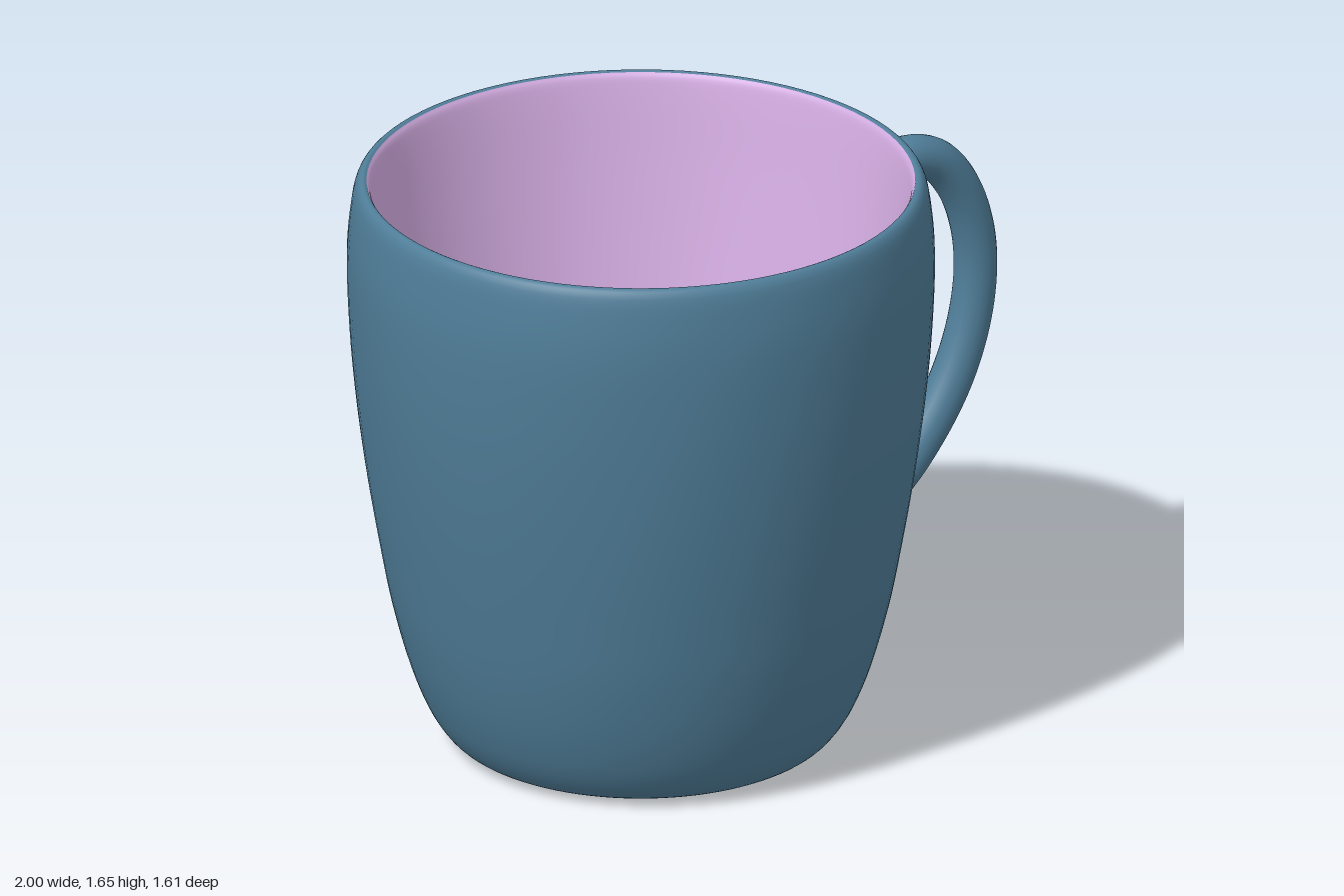
import * as THREE from 'three';

const CUP_X = -0.196;

// Smooth lathe through a few [radius, height] points, closed at the axis
function lathe(name, points, color) {
  const curve = new THREE.CatmullRomCurve3(points.map(([r, y]) => new THREE.Vector3(r, y, 0)), false, 'centripetal');
  const profile = curve.getPoints((points.length - 1) * 5).map((p) => new THREE.Vector2(Math.max(p.x, 0), p.y));
  const mesh = new THREE.Mesh(new THREE.LatheGeometry(profile, 96), new THREE.MeshStandardMaterial({ color }));
  mesh.name = name;
  mesh.position.x = CUP_X;
  return mesh;
}

export function createModel() {
  const group = new THREE.Group();
  group.name = 'mug';
  const blue = 0x4f7d98, pink = 0xd4ade2;

  // Outside: base, rounded foot, bulging wall and rolled rim
  group.add(lathe('outerWall', [
    [0, 0], [0.25, 0], [0.45, 0.003], [0.518, 0.022], [0.57, 0.08], [0.625, 0.2], [0.682, 0.4],
    [0.721, 0.6], [0.754, 0.8], [0.78, 1.0], [0.798, 1.2], [0.806, 1.42], [0.798, 1.54],
    [0.784, 1.62], [0.771, 1.641], [0.76, 1.645], [0.752, 1.642],
  ], blue));

  // Inside: lining tapering from the rim to a bowl-shaped floor
  group.add(lathe('innerLining', [
    [0.752, 1.642], [0.745, 1.63], [0.738, 1.6], [0.706, 1.4], [0.672, 1.2], [0.636, 1.0], [0.598, 0.8],
    [0.556, 0.6], [0.51, 0.4], [0.476, 0.27], [0.44, 0.18], [0.39, 0.125], [0.31, 0.09], [0.18, 0.067], [0, 0.058],
  ], pink));

  // Ear-shaped handle, both ends buried in the wall
  const path = new THREE.CatmullRomCurve3([
    [0.575, 1.44], [0.63, 1.47], [0.71, 1.484], [0.8, 1.452], [0.875, 1.363], [0.924, 1.235], [0.938, 1.1],
    [0.916, 0.945], [0.857, 0.79], [0.765, 0.65], [0.655, 0.535], [0.55, 0.47], [0.465, 0.438],
  ].map(([x, y]) => new THREE.Vector3(x, y, 0)));
  const handle = new THREE.Mesh(
    new THREE.TubeGeometry(path, 64, 0.06, 24),
    new THREE.MeshStandardMaterial({ color: blue }),
  );
  handle.name = 'handle';
  group.add(handle);

  return group;
}
